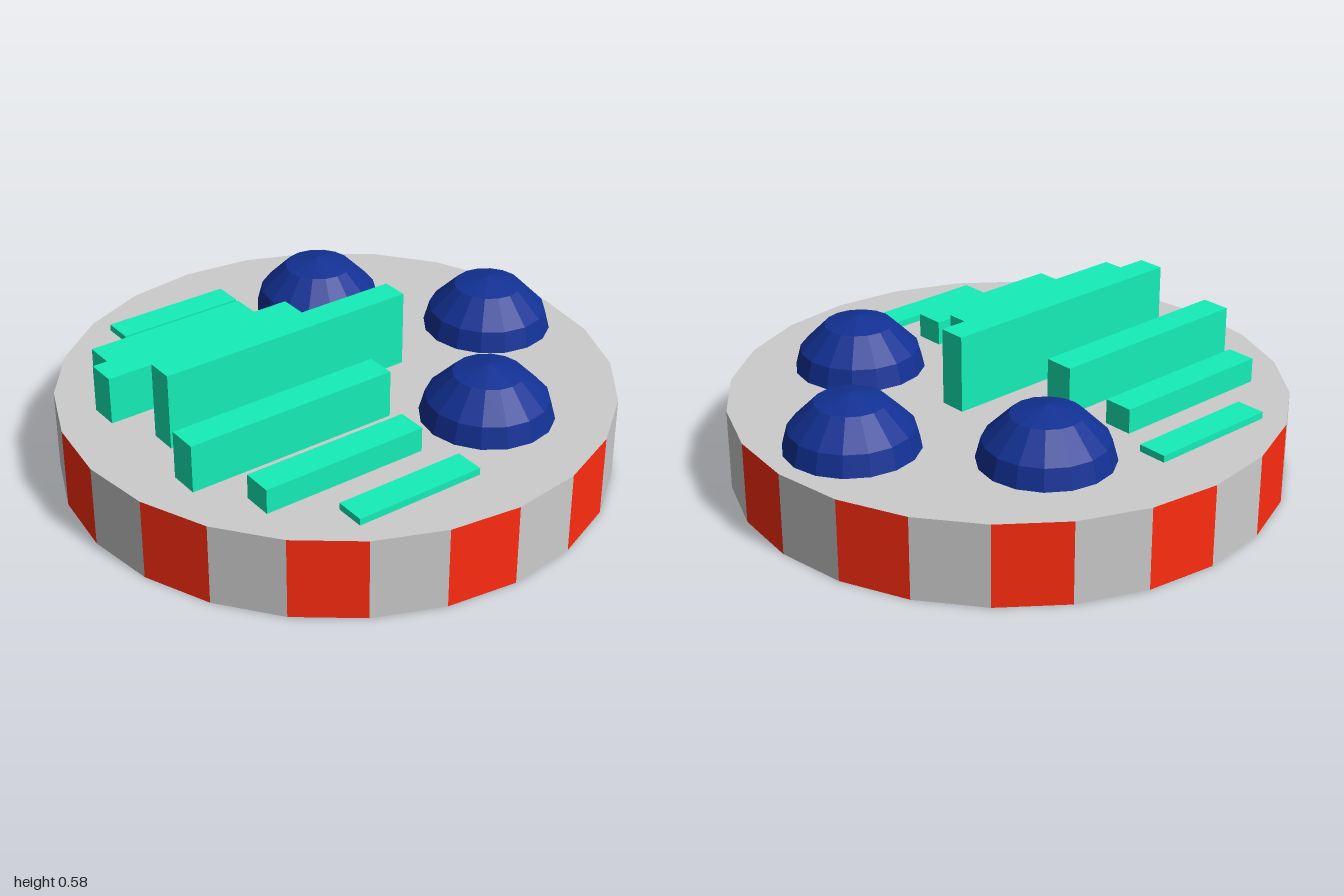
import * as THREE from 'three';
import { mergeGeometries } from 'three/addons/utils/BufferGeometryUtils.js';

const SIDES = 24, BASE_H = 0.3;

const material = (color) => new THREE.MeshStandardMaterial({ color, flatShading: true });

export function createModel() {
  const model = new THREE.Group();
  const grey = material(0xcccccc);
  const red = material(0xff2c10);
  const blue = material(0x123194);
  const green = material(0x15eeb8);

  const add = (parent, name, geometry, mat, x = 0, y = 0, z = 0) => {
    const mesh = new THREE.Mesh(geometry, mat);
    mesh.name = name;
    mesh.position.set(x, y, z);
    parent.add(mesh);
    return mesh;
  };

  // Round base: flat rim panels alternating grey and red
  const base = new THREE.Group();
  base.name = 'base';
  model.add(base);
  const step = (Math.PI * 2) / SIDES;
  const panels = [[], []];
  for (let i = 0; i < SIDES; i++) {
    panels[i % 2].push(new THREE.CylinderGeometry(1, 1, BASE_H, 1, 1, true, i * step, step));
  }
  add(base, 'greyRimPanels', mergeGeometries(panels[0]), grey, 0, BASE_H / 2);
  add(base, 'redRimPanels', mergeGeometries(panels[1]), red, 0, BASE_H / 2);
  add(base, 'topFace', new THREE.CircleGeometry(1, SIDES).rotateX(-Math.PI / 2), grey, 0, BASE_H);
  add(base, 'bottomFace', new THREE.CircleGeometry(1, SIDES).rotateX(Math.PI / 2), grey);

  // Three faceted domes, slightly sunk into the base
  const domeGeometry = new THREE.SphereGeometry(0.25, 16, 3, 0, Math.PI * 2, 0, Math.PI / 2);
  const domes = [['backDome', 0, -0.7], ['leftDome', 0.5, -0.28], ['rightDome', -0.5, -0.28]];
  for (const [name, x, z] of domes) add(model, name, domeGeometry, blue, x, 0.25, z);

  // Parallel ridges, lower towards the sides
  const ridge = (name, x, width, back, front, top) =>
    add(model, name, new THREE.BoxGeometry(width, top - BASE_H, front - back), green,
      x, (top + BASE_H) / 2, (front + back) / 2);

  ridge('centreRidge', 0, 0.1, -0.26, 0.72, 0.58);
  const sideRidges = [
    ['InnerRidge', 0.26, 0, 0.8, 0.475],
    ['MiddleRidge', 0.5, 0.05, 0.675, 0.39],
    ['OuterRidge', 0.725, -0.015, 0.475, 0.325],
  ];
  for (const [name, x, back, front, top] of sideRidges) {
    ridge('left' + name, x, 0.11, back, front, top);
    ridge('right' + name, -x, 0.11, back, front, top);
  }

  return model;
}
